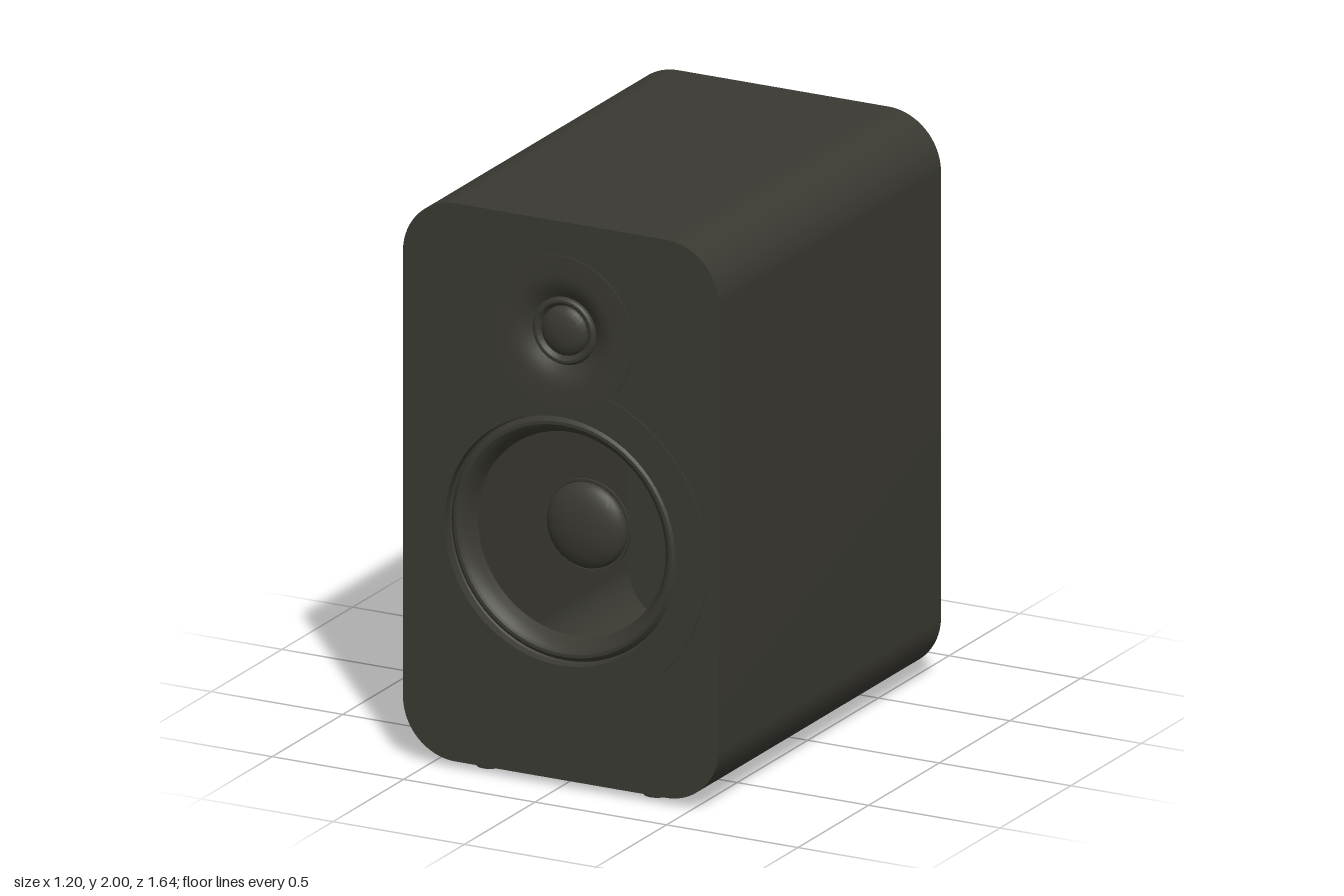
import * as THREE from 'three';
import { toCreasedNormals } from 'three/addons/utils/BufferGeometryUtils.js';

const charcoal = new THREE.MeshStandardMaterial({ color: 0x3a3932 });
charcoal.name = 'charcoal';

const WOOFER_Y = 0.87, TWEETER_Y = 1.605, PORT_Y = 1.405, TERMINAL_Y = 0.42;
const FRONT = 0.818, BACK = -0.757, WALL = 0.02;

function part(name, geometry, x = 0, y = 0, z = 0) {
  const mesh = new THREE.Mesh(toCreasedNormals(geometry, 0.5), charcoal);
  mesh.name = name;
  mesh.position.set(x, y, z);
  return mesh;
}

// Turned part about the z axis; profile is [radius, z] pairs
function turned(name, profile, x, y, segments = 72) {
  const points = profile.map(([r, z]) => new THREE.Vector2(r, z));
  return part(name, new THREE.LatheGeometry(points, segments).rotateX(Math.PI / 2), x, y);
}

function extruded(name, shape, z0, z1, y = 0) {
  const geometry = new THREE.ExtrudeGeometry(shape, { depth: z1 - z0, bevelEnabled: false, curveSegments: 32 });
  return part(name, geometry, 0, y, z0);
}

function roundedRect(w, h, r, cy, Type = THREE.Shape) {
  const s = new Type(), x = w / 2 - r, y = h / 2 - r, q = Math.PI / 2;
  s.absarc(x, cy + y, r, 0, q);
  s.absarc(-x, cy + y, r, q, 2 * q);
  s.absarc(-x, cy - y, r, 2 * q, 3 * q);
  s.absarc(x, cy - y, r, 3 * q, 4 * q);
  s.closePath();
  return s;
}

const circle = (r, y) => new THREE.Path().absarc(0, y, r, 0, Math.PI * 2, true);

// Points of a dome from its rim to its tip
function dome(radius, rimZ, height, steps = 12) {
  return Array.from({ length: steps + 1 }, (_, i) => {
    const a = (i / steps) * Math.PI / 2;
    return [i === steps ? 0 : radius * Math.cos(a), rimZ + height * Math.sin(a)];
  });
}

function createCabinet() {
  const group = new THREE.Group();
  group.name = 'cabinet';
  const outline = () => roundedRect(1.2, 1.975, 0.2, 1.0125);

  const walls = outline();
  walls.holes.push(roundedRect(1.2 - 2 * WALL, 1.975 - 2 * WALL, 0.2 - WALL, 1.0125, THREE.Path));
  const front = outline();
  front.holes.push(circle(0.44, WOOFER_Y), circle(0.2, TWEETER_Y));
  const back = outline();
  back.holes.push(circle(0.225, PORT_Y));

  group.add(
    extruded('cabinetWalls', walls, BACK + WALL, FRONT - WALL),
    extruded('frontPanel', front, FRONT - WALL, FRONT),
    extruded('backPanel', back, BACK, BACK + WALL),
  );
  return group;
}

function createWoofer() {
  const group = new THREE.Group();
  group.name = 'woofer';

  // Flange with a bite taken out where the tweeter sits
  const R = 0.56, r = 0.275, d = TWEETER_Y - WOOFER_Y;
  const cy = (d * d + R * R - r * r) / (2 * d), cx = Math.sqrt(R * R - cy * cy);
  const a = Math.atan2(cy, cx), b = Math.atan2(cy - d, cx);
  const flange = new THREE.Shape();
  flange.absarc(0, 0, R, Math.PI - a, 2 * Math.PI + a);
  flange.absarc(0, d, r, b, -Math.PI - b, true);
  flange.holes.push(circle(0.44, 0));

  group.add(
    extruded('wooferFlange', flange, FRONT, 0.822, WOOFER_Y),
    turned('wooferSurround', [
      [0.44, 0.822], [0.438, 0.79], [0.432, 0.786], [0.425, 0.797], [0.415, 0.804], [0.404, 0.804],
      [0.392, 0.797], [0.38, 0.782], [0.37, 0.762], [0.36, 0.735],
    ], 0, WOOFER_Y),
    // Cone skin faces the inside of the cabinet
    turned('coneBack', [[0.155, 0.625], [0.36, 0.735]], 0, WOOFER_Y),
    turned('dustCap', [[0.162, 0.622], [0.162, 0.632], [0.155, 0.632], ...dome(0.152, 0.63, 0.055)], 0, WOOFER_Y),
  );
  return group;
}

function createTweeter() {
  const group = new THREE.Group();
  group.name = 'tweeter';
  group.add(
    turned('tweeterWaveguide', [
      [0.275, 0.816], [0.275, 0.822], [0.2, 0.822], [0.18, 0.819], [0.16, 0.813], [0.14, 0.803], [0.12, 0.79],
    ], 0, TWEETER_Y),
    turned('tweeterSurround', [
      [0.12, 0.788], [0.117, 0.797], [0.11, 0.803], [0.102, 0.803], [0.094, 0.797], [0.088, 0.786],
    ], 0, TWEETER_Y),
    turned('tweeterDome', dome(0.088, 0.786, 0.034), 0, TWEETER_Y),
  );
  return group;
}

function createBackFittings() {
  const group = new THREE.Group();
  group.name = 'backFittings';

  // Flared port, a closed skin so it also shows from within
  const flare = [];
  for (let i = 0; i <= 10; i++) {
    const t = (i / 10) * Math.PI / 2;
    flare.push([0.225 - 0.11 * Math.cos(t), BACK + 0.1 - 0.1 * Math.sin(t)]);
  }
  const outside = flare.slice(0, -1).reverse().map(([r, z]) => [r + 0.006, z + 0.012]);
  group.add(turned('port', [...flare, [0.225, BACK + WALL], ...outside, flare[0]], 0, PORT_Y));

  group.add(extruded('terminalPlate', roundedRect(0.63, 0.35, 0.17, 0), BACK - 0.002, BACK + 0.004, TERMINAL_Y));

  // Binding posts with a socket in each cap
  for (const side of [-1, 1]) {
    group.add(turned(side > 0 ? 'leftBindingPost' : 'rightBindingPost', [
      [0, -0.805], [0.022, -0.805], [0.022, -0.822], [0.07, -0.822], [0.075, -0.818],
      [0.075, -0.796], [0.045, -0.796], [0.045, BACK],
    ], side * 0.132, TERMINAL_Y - 0.002, 40));
  }
  return group;
}

function createFeet() {
  const group = new THREE.Group();
  group.name = 'feet';
  for (const x of [-0.318, 0.318]) {
    for (const z of [-0.66, 0.74]) {
      const foot = new THREE.CylinderGeometry(0.043, 0.04, 0.03, 32).scale(1, 1, 0.82);
      group.add(part('foot', foot, x, 0.015, z));
    }
  }
  return group;
}

export function createModel() {
  const model = new THREE.Group();
  model.name = 'bookshelfSpeaker';
  model.add(createCabinet(), createWoofer(), createTweeter(), createBackFittings(), createFeet());
  return model;
}
